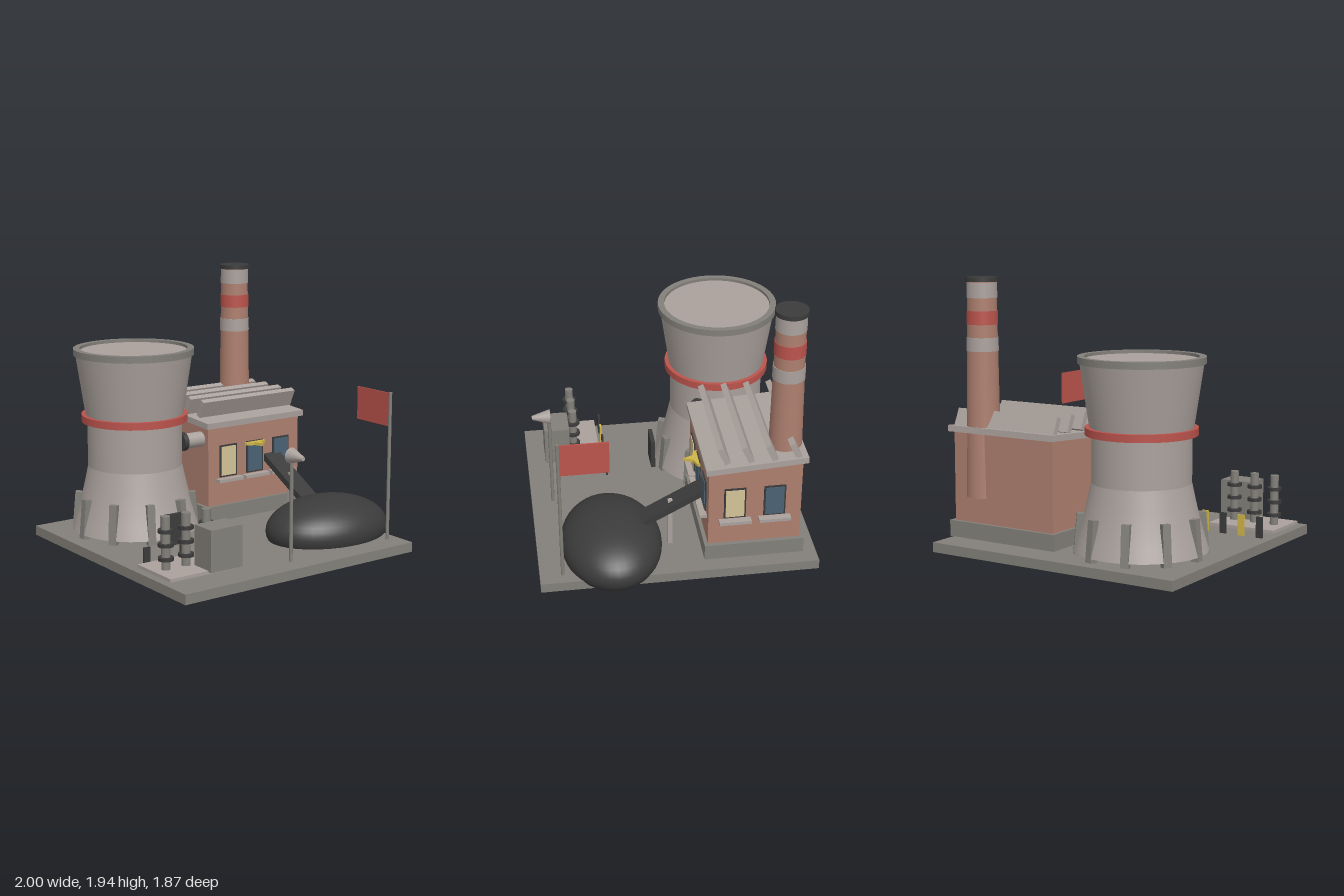
import * as THREE from 'three';

const mat = (name, color) => {
  const m = new THREE.MeshStandardMaterial({ color });
  m.name = name;
  return m;
};

export function createModel() {
  const root = new THREE.Group();
  root.name = 'powerStation';
  const light = mat('lightConcrete', 0xaaa19c);
  const grey = mat('darkConcrete', 0x83807a);
  const dark = mat('charcoal', 0x3b3b3b);
  const brick = mat('brick', 0xad7f6f);
  const red = mat('signalRed', 0xbb534c);
  const yellow = mat('yellow', 0xcfb548);
  const cream = mat('litWindow', 0xd2c396);
  const blue = mat('blueGlass', 0x4b6273);

  const add = (name, geo, m, x = 0, y = 0, z = 0, parent = root) => {
    const mesh = new THREE.Mesh(geo, m);
    mesh.name = name;
    mesh.position.set(x, y, z);
    parent.add(mesh);
    return mesh;
  };
  // box given by its x, y and z ranges
  const block = (name, m, x0, x1, y0, y1, z0, z1, parent) =>
    add(name, new THREE.BoxGeometry(x1 - x0, y1 - y0, z1 - z0), m,
      (x0 + x1) / 2, (y0 + y1) / 2, (z0 + z1) / 2, parent);
  // upright cylinder between two heights
  const column = (name, m, r0, r1, y0, y1, x, z, parent, seg = 40) =>
    add(name, new THREE.CylinderGeometry(r1, r0, y1 - y0, seg), m, x, (y0 + y1) / 2, z, parent);

  block('basePlate', grey, -1, 0.87, 0.098, 0.165, -0.935, 0.935);

  // Cooling tower
  const tower = new THREE.Group();
  tower.name = 'coolingTower';
  tower.position.set(-0.473, 0, -0.443);
  root.add(tower);
  const flare = [[0.44, 0.2], [0.416, 0.28], [0.385, 0.38], [0.352, 0.52], [0.326, 0.64]];
  add('towerFoot', new THREE.LatheGeometry(flare.map(p => new THREE.Vector2(...p)), 48), light, 0, 0, 0, tower);
  add('towerFootUnderside', new THREE.CircleGeometry(0.44, 48), light, 0, 0.2, 0, tower).rotation.x = Math.PI / 2;
  column('towerWaist', light, 0.326, 0.326, 0.64, 0.97, 0, 0, tower, 48);
  column('towerBand', red, 0.366, 0.366, 0.95, 1.0, 0, 0, tower, 48);
  column('towerCrown', light, 0.335, 0.403, 0.98, 1.435, 0, 0, tower, 48);
  const rim = [[0.37, 1.41], [0.414, 1.41], [0.414, 1.41], [0.414, 1.455], [0.414, 1.455],
    [0.37, 1.455], [0.37, 1.455], [0.37, 1.41]];
  for (let i = 1; i < rim.length; i += 2) {
    const pair = [rim[i - 1], rim[i]].map(p => new THREE.Vector2(...p));
    add('towerRim', new THREE.LatheGeometry(pair, 48), grey, 0, 0, 0, tower);
  }
  for (let i = 0; i < 10; i++) {
    const pivot = new THREE.Group();
    pivot.name = 'buttress';
    pivot.rotation.y = Math.PI + i * Math.PI / 5;
    tower.add(pivot);
    const leg = block('buttressLeg', grey, 0.375, 0.43, 0.168, 0.44, -0.027, 0.027, pivot);
    leg.rotation.z = 0.09;
  }
  block('towerDoor', dark, -0.565, -0.38, 0.165, 0.38, 0.008, 0.038);

  // Pipe from tower to hall
  const pipe = new THREE.Group();
  pipe.name = 'steamPipe';
  pipe.position.set(0, 0.785, -0.28);
  pipe.rotation.z = -Math.PI / 2;
  root.add(pipe);
  column('pipeTube', light, 0.053, 0.053, -0.2, 0, 0, 0, pipe, 24);
  column('pipeFlange', dark, 0.065, 0.065, -0.205, -0.17, 0, 0, pipe, 24);

  // Turbine hall with a sloping top
  block('hallPlinth', grey, -0.055, 0.8, 0.2, 0.31, -0.835, -0.165);
  const wall = new THREE.BoxGeometry(0.8, 0.58, 0.62);
  const wp = wall.attributes.position;
  for (let i = 0; i < wp.count; i++) {
    if (wp.getY(i) > 0) wp.setY(i, wp.getY(i) + 0.02 - wp.getZ(i) * 0.066);
  }
  wall.computeVertexNormals();
  add('hallWalls', wall, brick, 0.37, 0.6, -0.5);
  add('roof', new THREE.BoxGeometry(0.85, 0.042, 0.675), light, 0.375, 0.913, -0.505).rotation.x = 0.066;
  for (let i = 0; i < 4; i++) {
    add('roofFin', new THREE.BoxGeometry(0.81, 0.125, 0.04), light, 0.375, 0.998, -0.285 - i * 0.157)
      .rotation.x = 0.42;
  }

  // Windows: frame, pane and sill, facing local +z
  const addWindow = (glass, x, z, turn) => {
    const w = new THREE.Group();
    w.name = 'window';
    w.position.set(x, 0.625, z);
    w.rotation.y = turn;
    root.add(w);
    block('windowFrame', dark, -0.073, 0.073, -0.115, 0.115, -0.01, 0.008, w);
    block('windowPane', glass, -0.062, 0.062, -0.104, 0.104, 0.006, 0.013, w);
    block('windowSill', light, -0.107, 0.107, -0.145, -0.122, -0.01, 0.05, w);
  };
  [[cream, 0.14], [blue, 0.373], [blue, 0.607]].forEach(([g, x]) => addWindow(g, x, -0.19, 0));
  [[cream, -0.365], [blue, -0.63]].forEach(([g, z]) => addWindow(g, 0.77, z, Math.PI / 2));

  // Pointed yellow canopy over the middle window
  const point = new THREE.Shape([[-0.085, 0], [0.085, 0], [0.08, -0.02], [0.026, -0.04], [0, -0.105],
    [-0.026, -0.04], [-0.08, -0.02]].map(p => new THREE.Vector2(...p)));
  add('canopy', new THREE.ExtrudeGeometry(point, { depth: 0.022, bevelEnabled: false }), yellow,
    0.37, 0.737, -0.185).rotation.x = Math.PI / 2;
  scaleFix(root.getObjectByName('canopy'));

  // Chimney with painted bands
  const cx = 0.59, cz = -0.725;
  const radius = y => 0.118 - (y - 0.48) * 0.0155;
  column('chimney', brick, radius(0.48), radius(1.91), 0.48, 1.91, cx, cz);
  [[light, 1.455, 1.545], [red, 1.63, 1.72], [light, 1.805, 1.905]].forEach(([m, a, b]) =>
    column('chimneyBand', m, radius(a) + 0.004, radius(b) + 0.004, a, b, cx, cz));
  column('chimneyCap', dark, 0.108, 0.108, 1.91, 1.94, cx, cz);

  // Coal heap, conveyor and its post
  add('coalHeap', new THREE.SphereGeometry(1, 40, 24), dark, 0.533, 0.22, 0.433).scale.set(0.467, 0.22, 0.342);
  add('conveyor', new THREE.BoxGeometry(0.14, 0.045, 0.55), dark, 0.53, 0.49, 0.02).rotation.x = 0.496;
  block('conveyorPost', light, 0.515, 0.545, 0.165, 0.52, 0.015, 0.045);

  // Transformer yard
  block('yardSlab', light, -1, -0.5, 0.198, 0.22, 0.4, 0.775);
  block('transformer', grey, -0.715, -0.473, 0.212, 0.487, 0.625, 0.805);
  [-0.91, -0.757, -0.6].forEach(x => {
    column('insulatorPole', grey, 0.029, 0.029, 0.2, 0.565, x, 0.59, root, 20);
    [0.29, 0.38, 0.47].forEach(y => column('insulatorDisc', dark, 0.05, 0.05, y - 0.011, y + 0.011, x, 0.59, root, 20));
  });

  // Row of bollards
  for (let i = 0; i < 5; i++) {
    const x = -0.91 + i * 0.14;
    block('bollard', i % 2 ? yellow : dark, x - 0.024, x + 0.024, 0.165, 0.31, 0.364, 0.378);
  }

  // Horn on a pole
  column('hornPole', grey, 0.012, 0.012, 0.165, 0.87, -0.065, 0.785, root, 12);
  add('horn', new THREE.CylinderGeometry(0.014, 0.052, 0.125, 24), light, -0.065, 0.87, 0.84).rotation.x = Math.PI / 2;

  // Flag
  column('flagPole', grey, 0.012, 0.012, 0.165, 1.19, 0.78, 0.782, root, 12);
  block('flag', red, 0.775, 0.785, 0.955, 1.183, 0.455, 0.78);
  return root;
}

// turn the canopy so its tip points forward
function scaleFix(mesh) {
  mesh.rotation.x = -Math.PI / 2;
  mesh.position.y = 0.714;
}
